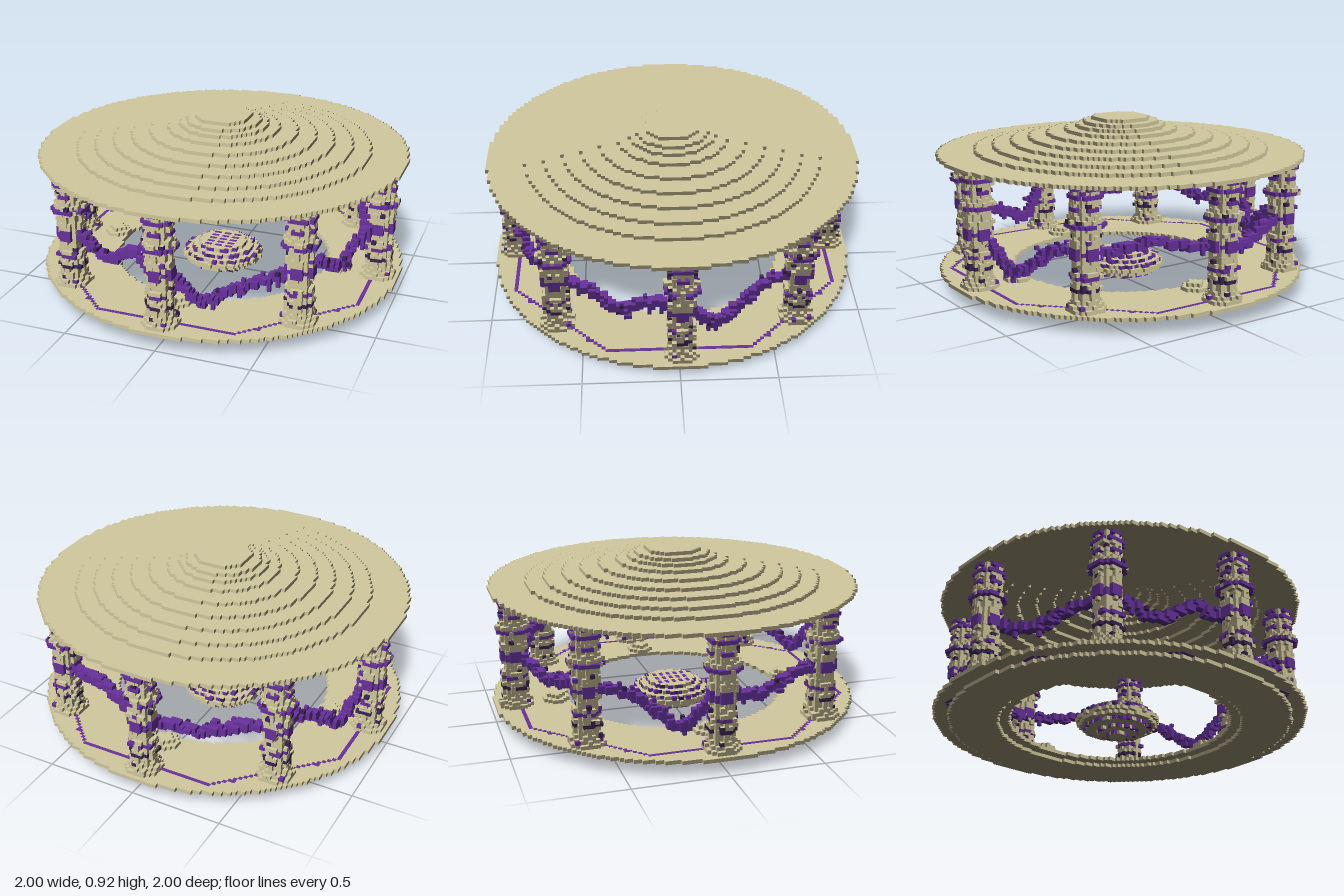
import * as THREE from 'three';
import { mergeGeometries } from 'three/addons/utils/BufferGeometryUtils.js';

const V = 0.02; // edge of one block

function material(name, color) {
  const m = new THREE.MeshStandardMaterial({ color });
  m.name = name;
  return m;
}
// Each block has one colour on its top, front and back, another on its ends and base
const blocks = {
  sandstone: [material('paleSandstone', 0xcdc59a), material('brownSandstone', 0x79705a)],
  purple: [material('purple', 0x67309a), material('deepPurple', 0x43206a)],
  darkPurple: [material('darkPurple', 0x3a2254), material('blackPurple', 0x241534)],
};

let seed = 7;
const rnd = () => (seed = (seed * 16807) % 2147483647) / 2147483647;

// Stair-stepped circle outline, radius in blocks; odd = centred on a block
function outline(r, odd) {
  const o = odd ? 0 : 0.5, right = [], left = [];
  const n = Math.floor(r);
  for (let j = -n; j <= (odd ? n : n - 1); j++) {
    const s = Math.sqrt(Math.max(0, r * r - (j + o) ** 2));
    const w = odd ? Math.floor(s) + 0.5 : Math.floor(s + 0.5);
    if (w <= 0) continue;
    const lo = j + o - 0.5;
    right.push([w, lo], [w, lo + 1]);
    left.unshift([-w, lo + 1], [-w, lo]);
  }
  return right.concat(left)
    .filter((p, i, a) => i === 0 || p[0] !== a[i - 1][0] || p[1] !== a[i - 1][1])
    .map(([x, y]) => new THREE.Vector2(x * V, y * V));
}

// Stepped disc or ring, one block high, bottom at layer y
function disc(r, y, { hole = 0, odd = false, x = 0, z = 0 } = {}) {
  const shape = new THREE.Shape(outline(r, odd));
  if (hole) shape.holes.push(new THREE.Path(outline(hole, odd)));
  const g = new THREE.ExtrudeGeometry(shape, { depth: V, bevelEnabled: false });
  return g.rotateX(-Math.PI / 2).translate(x * V, y * V, z * V);
}

// Box given by its centre and size in blocks
const box = (x, y, z, w, h, d) =>
  new THREE.BoxGeometry(w * V, h * V, d * V).toNonIndexed().translate(x * V, y * V, z * V);

// Sorts triangles into two material groups by the way they face
function sortFaces(g) {
  const n = g.attributes.normal, pale = [], deep = [];
  for (let i = 0; i < n.count; i += 3) {
    const isDeep = Math.abs(n.getX(i)) > 0.5 || n.getY(i) < -0.5;
    (isDeep ? deep : pale).push(i, i + 1, i + 2);
  }
  g.setIndex(pale.concat(deep));
  g.addGroup(0, pale.length, 0);
  g.addGroup(pale.length, deep.length, 1);
  return g;
}

// One named group with one mesh per block kind
function part(name, lists) {
  const g = new THREE.Group();
  g.name = name;
  for (const [kind, list] of Object.entries(lists)) {
    if (!list.length) continue;
    const m = new THREE.Mesh(sortFaces(mergeGeometries(list)), blocks[kind]);
    m.name = name + '_' + kind;
    g.add(m);
  }
  return g;
}

const snap = v => Math.ceil(v - 1e-6) - 0.5;
const around = (deg, r) => {
  const a = THREE.MathUtils.degToRad(deg);
  return [Math.sin(a) * r, Math.cos(a) * r];
};

// Scattered blocks of one kind set into the rim of a stepped disc
function flecks(list, x, y, z, r, count) {
  for (let i = 0; i < count; i++) {
    const a = ((i + rnd()) / count) * Math.PI * 2;
    const c = Math.round(Math.cos(a) * (r - 0.25)), s = Math.round(Math.sin(a) * (r - 0.25));
    list.push(box(x + c, y + 0.5, z + s, 1.25, 0.98, 1.25));
  }
}

// Column radii from foot to capital, one per block layer
const columnRadii = [4.5, 4.1, 3.3, 3, 3, 3.3, 3.2, 3, 3.6, 3.2, 2.9, 2.9, 3, 3, 3, 3,
  3.3, 3.6, 3, 3, 3.3, 4.5, 4.1, 3.3, 3, 3, 3, 3.3, 3.3, 3, 3];
const columnBands = { 5: 'darkPurple', 8: 'purple', 14: 'purple', 21: 'purple', 25: 'purple', 28: 'purple' };

function column(deg) {
  const [x, z] = around(deg, 44.5).map(snap);
  const lists = { sandstone: [], purple: [], darkPurple: [] };
  columnRadii.forEach((r, i) => {
    const band = columnBands[i];
    lists[band || 'sandstone'].push(disc(r, 5 + i, { odd: true, x, z }));
    flecks(lists.sandstone, x, 5 + i, z, r, 3);
    if (band) flecks(lists[band], x, 5 + i, z, r, 4);
    else if (i % 4 === 2) flecks(lists.darkPurple, x, 5 + i, z, r, 2);
    else if (i % 4 === 1) flecks(lists.purple, x, 5 + i, z, r, 2);
  });
  // Purple panels on the four faces
  for (const [y, h, w] of [[18, 3, 3], [30, 1, 3], [33, 1, 5], [35, 1, 3]]) {
    lists.purple.push(box(x, y + h / 2, z, w, h, 7.4), box(x, y + h / 2, z, 7.4, h, w));
  }
  // Sandstone corners left bare on the painted capital bands
  for (const y of [30, 33]) for (const sx of [-1, 1]) for (const sz of [-1, 1]) {
    lists.sandstone.push(box(x + sx * 2, y + 0.5, z + sz * 2, 1.3, 1.02, 1.3));
  }
  return part('column', lists);
}

// Blocky vine hung between neighbouring columns; heights in units along the span
function vine(deg, heights) {
  const [x0, z0] = around(deg, 43.5), [x1, z1] = around(deg + 45, 43.5);
  const curve = new THREE.CatmullRomCurve3(heights.map(([t, y]) => new THREE.Vector3(
    THREE.MathUtils.lerp(x0, x1, t), y / V, THREE.MathUtils.lerp(z0, z1, t))));
  const lists = { purple: [], darkPurple: [] };
  const n = 44;
  for (let i = 0; i <= n; i++) {
    const p = curve.getPoint(i / n);
    const j = () => Math.round(rnd() * 1.6 - 0.8);
    const [x, y, z] = [p.x, p.y, p.z].map(Math.round);
    lists.purple.push(box(x, y, z, 2, 2, 2));
    lists[rnd() < 0.25 ? 'darkPurple' : 'purple'].push(
      box(x + j() + 0.5, y + j() + 0.5, z + j() + 0.5, 1, 1, 1));
    if (rnd() < 0.4) lists.purple.push(box(x + j(), y + j(), z + j(), 2, 1, 2));
    if (rnd() < 0.12) lists.purple.push(box(x + 0.5, y - 1.5, z + 0.5, 1, 2, 1));
  }
  return part('vine', lists);
}

export function createModel() {
  const model = new THREE.Group();
  model.name = 'pavilion';

  // Hollow stepped roof
  const roofR = [50, 40, 35, 30, 25, 20, 15, 12, 10, 7.5];
  model.add(part('roof', {
    sandstone: roofR.map((r, i) =>
      disc(r, 36 + i, { hole: i < roofR.length - 1 ? Math.floor(roofR[i + 1]) - 1 : 0 })),
  }));

  // Ring floor in two layers
  model.add(part('floorRing', {
    sandstone: [disc(50, 4, { hole: 30 }), disc(46, 3, { hole: 33 })],
  }));

  // Octagonal line inlaid in the floor
  const line = [];
  for (let k = 0; k < 8; k++) {
    const a = around(k * 45 - 22.5, 47.5), b = around(k * 45 + 22.5, 47.5);
    for (let i = 0; i < 37; i++) {
      const [x, z] = [0, 1].map(c => snap(THREE.MathUtils.lerp(a[c], b[c], i / 37)));
      line.push(box(x, 4.5, z, 1, 1.1, 1));
    }
  }
  model.add(part('floorInlay', { purple: line }));

  // Eight columns
  for (let k = 0; k < 8; k++) model.add(column(k * 45));

  // Vines from column to column
  const spans = [
    [[0, .38], [.12, .32], [.27, .21], [.5, .27], [.78, .33], [1, .38]],
    [[0, .38], [.25, .36], [.5, .27], [.7, .35], [1, .40]],
    [[0, .38], [.15, .31], [.32, .21], [.5, .27], [.7, .36], [1, .38]],
    [[0, .38], [.25, .39], [.5, .42], [.75, .39], [1, .38]],
    [[0, .38], [.2, .36], [.4, .33], [.6, .34], [.8, .38], [1, .39]],
    [[0, .38], [.3, .36], [.5, .28], [.7, .20], [.85, .30], [1, .38]],
    [[0, .40], [.2, .34], [.45, .33], [.7, .37], [1, .39]],
    [[0, .39], [.2, .36], [.38, .31], [.55, .37], [.7, .42], [.85, .38], [1, .38]],
  ];
  spans.forEach((s, k) => model.add(vine(k * 45, s)));

  // Floating altar in the middle of the opening, with dashed purple rims
  const altar = { sandstone: [], purple: [], darkPurple: [] };
  const c = -0.5;
  [[2.4, 0], [5, 1], [8.5, 2], [10.2, 3], [11, 4], [10, 5], [8.4, 6], [6.5, 7]].forEach(([r, y]) => {
    altar.sandstone.push(disc(r, y, { odd: true, x: c, z: c }));
    if (y === 3 || y === 4) return;
    flecks(altar.purple, c, y, c, r, Math.round(r * 2.6));
    flecks(altar.darkPurple, c, y, c, r, Math.round(r * 0.8));
  });
  // Purple dashes on the crown
  for (let i = -4; i <= 4; i += 2) for (let k = -3; k <= 3; k += 3) {
    altar.purple.push(box(c + k, 7.6, c + i, 2, 0.9, 1));
  }
  model.add(part('altar', altar));

  // Small stepped stones on the four axes
  for (let k = 0; k < 4; k++) {
    const [x, z] = around(k * 90, 33.5).map(snap);
    model.add(part('stone', {
      sandstone: [disc(3.3, 5, { odd: true, x, z }), disc(2, 6, { odd: true, x, z })],
    }));
  }
  return model;
}
